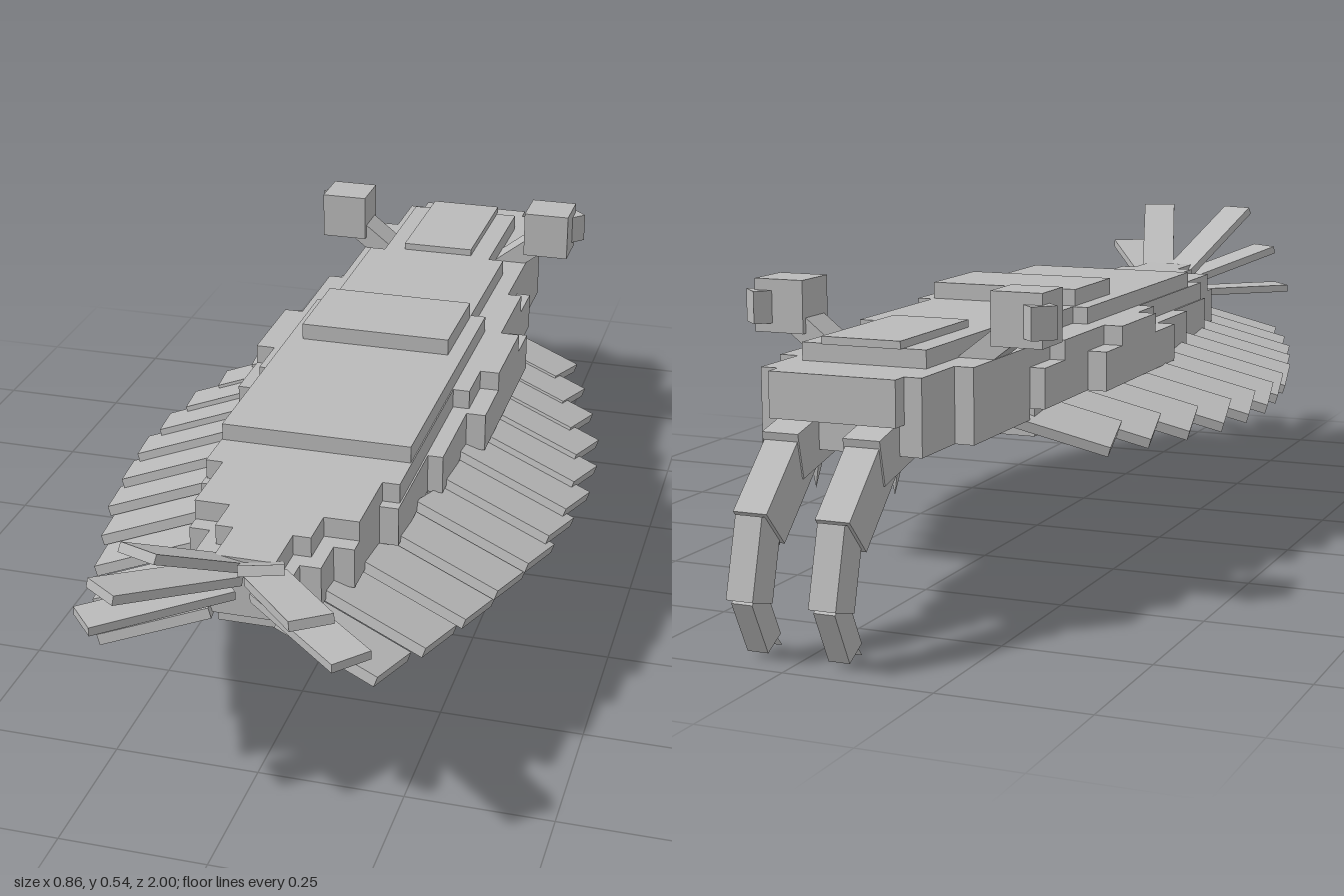
import * as THREE from 'three';

export function createModel() {
  const model = new THREE.Group();
  const shell = new THREE.MeshStandardMaterial({ color: 0xbababa });
  shell.name = 'greyShell';

  const add = (name, geometry) => {
    const mesh = new THREE.Mesh(geometry, shell);
    mesh.name = name;
    model.add(mesh);
    return mesh;
  };
  // Box centred on x, given by half width and its y and z limits
  const slab = (name, w, y0, y1, z0, z1) => {
    const m = add(name, new THREE.BoxGeometry(2 * w, y1 - y0, z1 - z0));
    m.position.set(0, (y0 + y1) / 2, (z0 + z1) / 2);
  };
  // Box running from one point to another
  const bar = (name, from, to, w, t) => {
    const a = new THREE.Vector3(...from), b = new THREE.Vector3(...to);
    const length = a.distanceTo(b);
    const m = add(name, new THREE.BoxGeometry(w, t, length).translate(0, 0, length / 2));
    m.position.copy(a);
    m.lookAt(b);
  };

  // Stepped side ledges: z start, z end, half width
  [[-0.45, -0.25, 0.2], [-0.25, 0.12, 0.235], [0.12, 0.3, 0.2],
    [0.3, 0.5, 0.173], [0.5, 0.65, 0.14], [0.65, 0.72, 0.105], [0.72, 0.78, 0.07]]
    .forEach(([z0, z1, w]) => slab('sideLedge', w, 0.325, 0.395, z0, z1));

  // Upper body layer, a step narrower
  [[-0.45, -0.36, 0.173], [-0.36, -0.17, 0.2], [-0.17, 0.01, 0.235], [0.01, 0.1, 0.2],
    [0.1, 0.48, 0.17], [0.48, 0.62, 0.14], [0.62, 0.69, 0.08], [0.69, 0.78, 0.05]]
    .forEach(([z0, z1, w]) => slab('upperBody', w, 0.35, 0.43, z0, z1));

  // Back plates
  slab('backPlate', 0.168, 0.43, 0.46, -0.17, 0.4);
  slab('frontBackPlate', 0.14, 0.43, 0.46, -0.46, -0.17);
  slab('neckPlate', 0.11, 0.43, 0.46, -0.72, -0.46);
  slab('backHump', 0.14, 0.46, 0.49, -0.16, 0.02);
  slab('headPlate', 0.07, 0.46, 0.473, -0.73, -0.47);

  // Head
  slab('neck', 0.173, 0.305, 0.43, -0.68, -0.45);
  slab('head', 0.14, 0.305, 0.43, -0.8, -0.68);
  slab('snout', 0.11, 0.355, 0.43, -0.83, -0.8);

  // Belly and mouth
  [[-0.43, 0.3, 0.173], [0.3, 0.5, 0.14], [0.5, 0.62, 0.1], [0.62, 0.72, 0.07]]
    .forEach(([z0, z1, w]) => slab('belly', w, 0.273, 0.33, z0, z1));
  slab('mouthPlate', 0.065, 0.297, 0.306, -0.61, -0.48);
  slab('mouth', 0.035, 0.29, 0.298, -0.58, -0.51);

  // Outer reach of each swimming flap, front to back
  const reach = [0.31, 0.345, 0.38, 0.41, 0.425, 0.43, 0.42, 0.405, 0.375, 0.345, 0.305, 0.255];

  for (const s of [1, -1]) {
    // Overlapping flaps swept back and drooping, each rear edge over the next flap
    reach.forEach((x, i) => {
      const root = x * 0.75 - 0.125, span = x - 0.015 - root;
      const length = span / 0.935;
      const flap = add('swimmingFlap',
        new THREE.BoxGeometry(length, 0.018, 0.122).translate(s * length / 2, 0, 0));
      flap.rotation.set(-0.2, -s * 0.25, -s * 0.28, 'YZX');
      flap.position.set(s * root, 0.322, -0.365 + i * 0.1045 - 0.255 * span);
    });

    // Tail fan
    bar('upperTailFin', [s * 0.025, 0.413, 0.77], [s * 0.095, 0.537, 0.98], 0.068, 0.016);
    bar('middleTailFin', [s * 0.03, 0.395, 0.77], [s * 0.165, 0.452, 0.965], 0.07, 0.016);
    bar('lowerTailFin', [s * 0.035, 0.371, 0.77], [s * 0.215, 0.371, 0.93], 0.07, 0.015);

    // Eye on its stalk
    bar('eyeStalk', [s * 0.12, 0.415, -0.565], [s * 0.21, 0.485, -0.565], 0.065, 0.04);
    const eye = add('eye', new THREE.BoxGeometry(0.09, 0.09, 0.087));
    eye.position.set(s * 0.215, 0.498, -0.564);
    const pupil = add('pupil', new THREE.BoxGeometry(0.045, 0.055, 0.045));
    pupil.position.set(s * 0.25, 0.496, -0.598);
    pupil.rotation.y = Math.PI / 4;

    // Curled grasping arm
    const x = s * 0.07;
    bar('armBase', [x, 0.335, -0.73], [x, 0.305, -0.86], 0.063, 0.075);
    bar('armUpper', [x, 0.318, -0.82], [x, 0.208, -0.938], 0.058, 0.078);
    bar('armMiddle', [x, 0.225, -0.938], [x, 0.1, -0.972], 0.046, 0.062);
    bar('armTip', [x, 0.112, -0.975], [x, 0.025, -0.93], 0.036, 0.045);

    // Spines: base y, base z, tip y, tip z
    [[0.3, -0.75, 0.232, -0.755], [0.285, -0.81, 0.222, -0.81], [0.27, -0.865, 0.2, -0.855],
      [0.215, -0.91, 0.165, -0.875], [0.175, -0.925, 0.135, -0.885],
      [0.125, -0.94, 0.09, -0.9], [0.035, -0.93, 0.005, -0.875]]
      .forEach(([y0, z0, y1, z1]) => {
        const a = new THREE.Vector3(x, y0, z0), b = new THREE.Vector3(x, y1, z1);
        const h = a.distanceTo(b);
        const cone = new THREE.ConeGeometry(0.016, h, 4, 1).rotateY(Math.PI / 4).toNonIndexed();
        cone.computeVertexNormals();
        const spine = add('armSpine', cone);
        spine.position.copy(a).lerp(b, 0.5);
        spine.quaternion.setFromUnitVectors(new THREE.Vector3(0, 1, 0), b.sub(a).normalize());
      });
  }
  return model;
}
